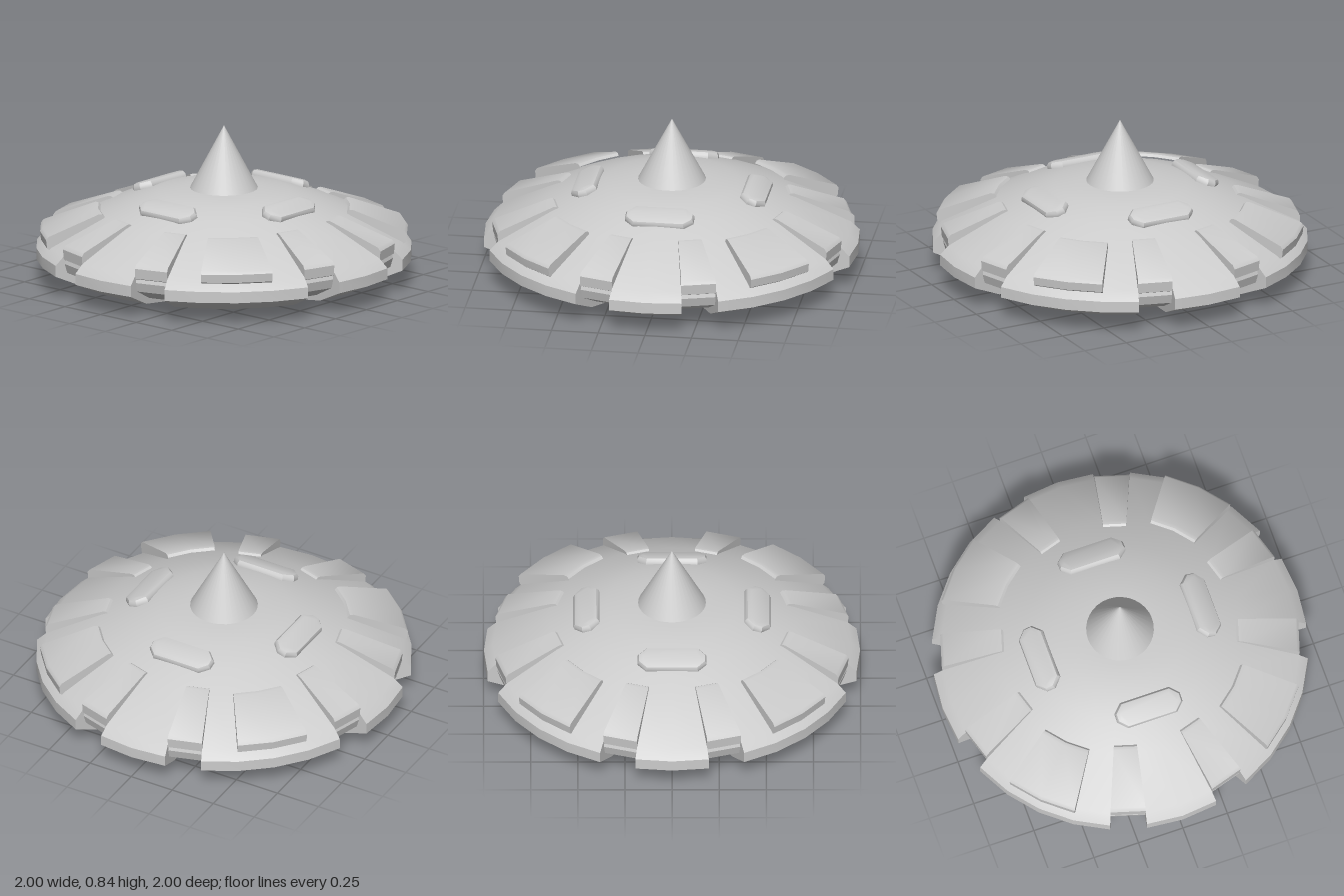
import * as THREE from 'three';
import { mergeGeometries, toCreasedNormals } from 'three/addons/utils/BufferGeometryUtils.js';

const STEP = Math.PI / 16; // the disc has 32 sides
const material = new THREE.MeshStandardMaterial({ color: 0xcccccc });

function addMesh(parent, name, geometry) {
  const mesh = new THREE.Mesh(geometry, material);
  mesh.name = name;
  parent.add(mesh);
  return mesh;
}

// Flat end of a sector: the profile stood up along a radius
function endCap(points, angle, flip) {
  const cap = new THREE.ShapeGeometry(new THREE.Shape(points));
  cap.rotateY(angle - Math.PI / 2);
  if (flip) cap.index.array.reverse();
  return cap;
}

// Profile swept over some of the 32 sides, closed at both ends
function sector(profile, first, count, capped = true) {
  const points = profile.map(([r, y]) => new THREE.Vector2(r, y));
  const start = first * STEP;
  const parts = [new THREE.LatheGeometry(points, count, start, count * STEP)];
  if (capped) parts.push(endCap(points, start, false), endCap(points, start + count * STEP, true));
  return mergeGeometries(parts);
}

// Tilted eight-sided pad with a bevelled edge
function padGeometry() {
  const w = 0.155, d = 0.042, c = 0.03;
  const outline = [[-w + c, -d], [w - c, -d], [w, -d + c], [w, d - c], [w - c, d], [-w + c, d], [-w, d - c], [-w, -d + c]];
  const shape = new THREE.Shape(outline.map(([x, y]) => new THREE.Vector2(x, y)));
  const geometry = new THREE.ExtrudeGeometry(shape, {
    depth: 0.025, bevelThickness: 0.02, bevelSize: 0.028, bevelSegments: 2,
  });
  geometry.rotateX(-Math.PI / 2);
  geometry.rotateX(0.34);
  geometry.translate(0, 0.435, 0.447);
  return toCreasedNormals(geometry, 0.6);
}

export function createModel() {
  const model = new THREE.Group();
  model.name = 'saucer';

  const dome = [[0.66, 0.375], [0.5, 0.437], [0.35, 0.483], [0.2, 0.499], [0, 0.502]];
  const hullProfile = [[0, 0], [0.52, 0], [0.83, 0.05], [0.998, 0.125], [0.998, 0.185], [0.95, 0.232], ...dome];
  const notchProfile = [[0, 0], [0.52, 0], [0.6, 0.013], [0.61, 0.035], [0.8, 0.075], [0.93, 0.14], [0.945, 0.19], [0.93, 0.24], ...dome];

  // Hull: wide and narrow rim sectors with notches between them
  const hullParts = [];
  for (let i = 0; i < 4; i++) {
    const at = i * 8;
    hullParts.push(
      sector(hullProfile, at - 1, 2),
      sector(hullProfile, at + 2, 4),
      sector(notchProfile, at + 1, 1, false),
      sector(notchProfile, at + 6, 1, false),
    );
  }
  addMesh(model, 'hull', toCreasedNormals(mergeGeometries(hullParts), 0.5));

  // Raised plates: broad ones on the diagonals, narrow ones over the notches
  const broadProfile = [[0.655, 0.35], [0.95, 0.215], [0.973, 0.23], [0.978, 0.275], [0.965, 0.293], [0.69, 0.397], [0.67, 0.397], [0.658, 0.385]];
  const narrowProfile = [[0.62, 0.35], [0.93, 0.205], [0.95, 0.215], [0.955, 0.27], [0.94, 0.29], [0.65, 0.397], [0.632, 0.398], [0.62, 0.39]];
  const pad = padGeometry();
  for (let i = 0; i < 4; i++) {
    const at = i * 8;
    addMesh(model, 'broadPlate', toCreasedNormals(sector(broadProfile, at + 3, 2), 0.6));
    for (const first of [at + 1, at + 6]) {
      addMesh(model, 'narrowPlate', toCreasedNormals(sector(narrowProfile, first, 1), 0.6));
    }
    addMesh(model, 'domePad', pad).rotation.y = i * Math.PI / 2;
  }

  // Central spike
  const spike = addMesh(model, 'spike', new THREE.ConeGeometry(0.19, 0.36, 32));
  spike.position.y = 0.66;

  return model;
}
